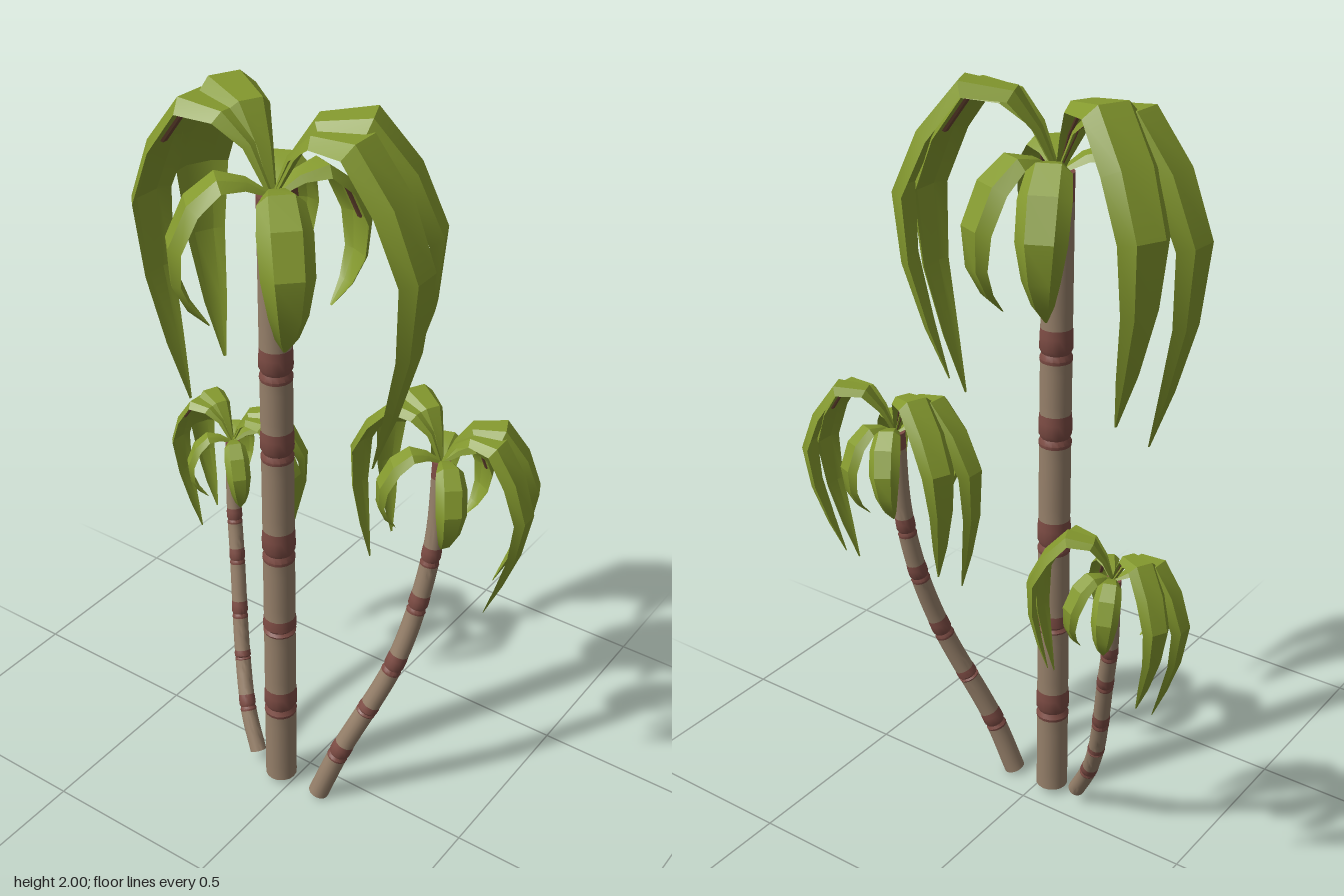
import * as THREE from 'three';
import { toCreasedNormals } from 'three/addons/utils/BufferGeometryUtils.js';

const material = (name, color) => {
  const m = new THREE.MeshStandardMaterial({ color });
  m.name = name;
  return m;
};

// Skin a list of equal-length closed cross-sections
function loft(rings, crease) {
  const n = rings[0].length, index = [];
  for (let i = 0; i < rings.length - 1; i++) {
    for (let j = 0; j < n; j++) {
      const a = i * n + j, b = i * n + (j + 1) % n;
      index.push(a, b, a + n, b, b + n, a + n);
    }
  }
  const g = new THREE.BufferGeometry().setFromPoints(rings.flat());
  g.setIndex(index);
  return toCreasedNormals(g, crease);
}

function addMesh(group, name, geometry, mat) {
  const mesh = new THREE.Mesh(geometry, mat);
  mesh.name = name;
  group.add(mesh);
}

// Leaf spines [distance from centre, height, half width]
const LONG = [[0, 0, 0.012], [0.05, 0.11, 0.03], [0.12, 0.175, 0.055], [0.24, 0.185, 0.074],
  [0.34, 0.06, 0.076], [0.405, -0.1, 0.07], [0.385, -0.3, 0.052], [0.335, -0.48, 0.032], [0.28, -0.635, 0.004]];
const BACK = [[0, 0, 0.012], [0.04, 0.1, 0.03], [0.1, 0.19, 0.055], [0.23, 0.21, 0.074],
  [0.33, 0.09, 0.076], [0.395, -0.06, 0.07], [0.38, -0.24, 0.052], [0.33, -0.41, 0.032], [0.275, -0.55, 0.004]];
const SHORT = [[0, 0, 0.012], [0.06, 0.04, 0.034], [0.13, 0.055, 0.055], [0.2, 0.0, 0.064],
  [0.245, -0.1, 0.062], [0.24, -0.2, 0.046], [0.205, -0.27, 0.028], [0.155, -0.32, 0.004]];

// Cross-sections [sideways, outwards] in half widths
const BLADE = [[-1, -0.45], [-0.55, 0], [0.55, 0], [1, -0.45], [0.5, -0.22], [-0.5, -0.22]];
const RIB = [[-0.16, -0.2], [0.16, -0.2], [0.1, -0.3], [-0.1, -0.3]];

function leafGeometry(spine, section, crease) {
  const rings = spine.map(([r, y, w], i) => {
    const p = spine[Math.max(i - 1, 0)], q = spine[Math.min(i + 1, spine.length - 1)];
    const len = Math.hypot(q[0] - p[0], q[1] - p[1]);
    const tx = (q[0] - p[0]) / len, ty = (q[1] - p[1]) / len;
    return section.map(([s, o]) => new THREE.Vector3(r - ty * o * w, y + tx * o * w, s * w));
  });
  return loft(rings, crease);
}

// Trunk piece between two curve fractions; profile is [0..1 along piece, radius factor]
function trunkGeometry(curve, from, to, radiusAt, profile, sides = 16) {
  const rings = profile.map(([k, f]) => {
    const t = from + (to - from) * k;
    const c = curve.getPointAt(t), T = curve.getTangentAt(t);
    const u = new THREE.Vector3(1, 0, 0).addScaledVector(T, -T.x).normalize();
    const v = new THREE.Vector3().crossVectors(T, u);
    return Array.from({ length: sides }, (_, j) => {
      const a = j / sides * Math.PI * 2, r = radiusAt(t) * f;
      return c.clone().addScaledVector(u, Math.cos(a) * r).addScaledVector(v, Math.sin(a) * r);
    });
  });
  return loft(rings, 0.6);
}

export function createModel() {
  const leafGreen = material('leaf green', 0x84992e);
  const barkTan = material('bark tan', 0x96806a);
  const ringRed = material('ring red brown', 0x7d4c44);
  const ribBrown = material('rib brown', 0x6a4632);

  // Leaf directions, mirrored left and right: spine and heading in degrees (+ is back)
  const leaves = [[LONG, 2], [BACK, 25], [SHORT, -45], [SHORT, 66]];

  function crown(scale) {
    const g = new THREE.Group();
    g.name = 'crown';
    for (const [spine, heading] of leaves) {
      const blade = leafGeometry(spine, BLADE, 0.45);
      const rib = leafGeometry(spine.slice(0, 5), RIB, 0.45);
      for (const side of [1, -1]) {
        const leaf = new THREE.Group();
        leaf.name = side > 0 ? 'leftLeaf' : 'rightLeaf';
        addMesh(leaf, 'leafBlade', blade, leafGreen);
        addMesh(leaf, 'leafRib', rib, ribBrown);
        leaf.rotation.y = THREE.MathUtils.degToRad(side > 0 ? heading : 180 - heading);
        g.add(leaf);
      }
    }
    g.scale.setScalar(scale);
    return g;
  }

  // Ring bands as fractions of the trunk length, with a groove in each
  const bands = [[0.13, 0.18], [0.29, 0.32], [0.425, 0.48], [0.6, 0.65], [0.73, 0.78], [0.96, 1]];
  const groove = [[0, 1], [0.1, 1.04], [0.25, 0.9], [0.4, 1.05], [0.75, 1.05], [1, 1]];

  function tree({ name, path, radius, scale, tilt }) {
    const g = new THREE.Group();
    g.name = name;
    const curve = new THREE.CatmullRomCurve3(path.map(p => new THREE.Vector3(...p)));
    const radiusAt = t => radius[0] + (radius[1] - radius[0]) * t;
    let start = 0;
    for (const [a, b] of bands) {
      const bark = Array.from({ length: 6 }, (_, i) => [i / 5, 1]);
      if (start === 0) bark.unshift([0, 0]);
      addMesh(g, 'trunkSection', trunkGeometry(curve, start, a, radiusAt, bark), barkTan);
      const profile = b === 1 ? [[0, 1], [1, 1], [1, 0]] : groove;
      addMesh(g, 'trunkRing', trunkGeometry(curve, a, b, radiusAt, profile), ringRed);
      start = b;
    }
    const top = crown(scale);
    top.position.set(...path[path.length - 1]);
    top.rotation.z = tilt;
    g.add(top);
    return g;
  }

  const model = new THREE.Group();
  model.name = 'palmCluster';
  model.add(
    tree({
      name: 'tallPalm', radius: [0.044, 0.04], scale: 1, tilt: 0,
      path: [[-0.04, 0.02, 0.085], [-0.04, 0.9, 0.085], [-0.04, 1.79, 0.09]],
    }),
    tree({
      name: 'leftPalm', radius: [0.029, 0.023], scale: 0.63, tilt: -0.08,
      path: [[0.09, 0.012, 0.085], [0.143, 0.175, 0.058], [0.254, 0.48, -0.026],
        [0.292, 0.69, -0.08], [0.31, 0.88, -0.108], [0.312, 1.1, -0.118]],
    }),
    tree({
      name: 'rightPalm', radius: [0.023, 0.02], scale: 0.52, tilt: 0.06,
      path: [[-0.13, 0.04, 0.075], [-0.185, 0.14, 0.045], [-0.25, 0.29, -0.015],
        [-0.315, 0.56, -0.085], [-0.345, 0.7, -0.115], [-0.36, 0.9, -0.135]],
    }),
  );
  return model;
}
